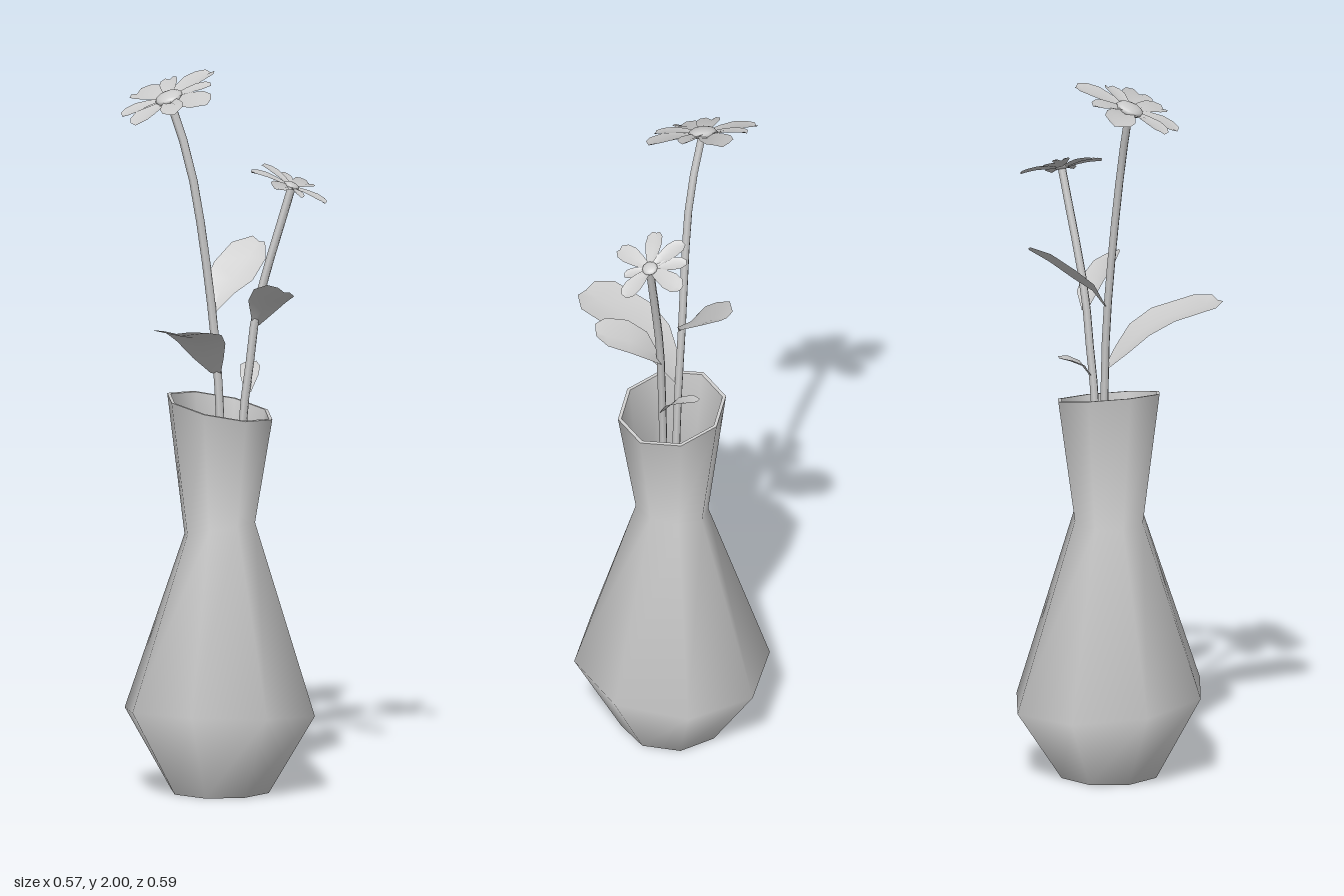
import * as THREE from 'three';

const grey = new THREE.MeshStandardMaterial({ color: 0xcccccc });
const thin = new THREE.MeshStandardMaterial({ color: 0xcccccc, side: THREE.DoubleSide });
const V = (x, y, z) => new THREE.Vector3(x, y, z);

// Joins rows of points into one smooth surface; closed rows wrap around
function loft(rows, closed) {
  const n = rows[0].length, index = [];
  for (let i = 0; i < rows.length - 1; i++) {
    for (let j = 0; j < (closed ? n : n - 1); j++) {
      const k = (j + 1) % n, a = i * n + j, b = i * n + k;
      index.push(a, b, b + n, a, b + n, a + n);
    }
  }
  const geo = new THREE.BufferGeometry().setFromPoints(rows.flat());
  geo.setIndex(index);
  geo.computeVertexNormals();
  return geo;
}

function add(parent, name, geo, mat = grey) {
  const mesh = new THREE.Mesh(geo, mat);
  mesh.name = name;
  parent.add(mesh);
  return mesh;
}

// Octagonal vase ring: radius, height and slopes along x and z
function ring([r, y, sx = 0, sz = 0]) {
  return Array.from({ length: 8 }, (_, i) => {
    const a = i * Math.PI / 4, x = r * Math.sin(a), z = r * Math.cos(a);
    return V(x - 0.005, y + sx * x + sz * z, z - 0.02);
  });
}

function makeVase() {
  const vase = new THREE.Group();
  vase.name = 'vase';
  const parts = {
    vaseBase: [[0, 0], [0.142, 0]],
    vaseBody: [[0.142, 0], [0.275, 0.222, 0, 0.09], [0.102, 0.738, 0.2, 0.04], [0.152, 1.08, -0.2]],
    vaseRim: [[0.152, 1.08, -0.2], [0.142, 1.08, -0.2]],
    vaseInside: [[0.142, 1.08, -0.2], [0.092, 0.738, 0.2, 0.04], [0.26, 0.222, 0, 0.09], [0.13, 0.02], [0, 0.02]],
  };
  for (const [name, rings] of Object.entries(parts)) add(vase, name, loft(rings.map(ring), true));
  return vase;
}

function makeStem(name, points) {
  const path = new THREE.CatmullRomCurve3(points.map(p => V(...p)));
  return new THREE.Mesh(new THREE.TubeGeometry(path, 14, 0.012, 6), grey);
}

// Leaf along a path, with half widths and a slight fold at the midrib
function makeLeaf(parent, name, path, halves, side, fold = 0.15) {
  const s = V(...side).normalize();
  const rows = path.map((p, i) => {
    const c = V(...p), w = halves[i];
    const lift = V(0, w * fold, 0);
    return [
      c.clone().addScaledVector(s, -w).add(lift),
      c.clone().sub(lift),
      c.clone().addScaledVector(s, w).add(lift),
    ];
  });
  add(parent, name, loft(rows, false), thin);
}

// Petal outline: share of the length, half width as a share, lift as a share
const petalOutline = [[0.1, 0.11, 0], [0.4, 0.22, 0.03], [0.65, 0.28, 0.04], [0.87, 0.25, 0.02], [1, 0.12, 0]];

// Flower head on a tilted plane; tips hold x, z and width scale of each petal
function makeHead(parent, centre, slopeX, slopeZ, radius, tips) {
  const c = V(...centre);
  const normal = V(-slopeX, 1, -slopeZ).normalize();
  tips.forEach(([x, z, scale = 1], k) => {
    const dx = x - c.x, dz = z - c.z;
    const along = V(dx, slopeX * dx + slopeZ * dz, dz);
    const length = along.length();
    const side = along.clone().cross(normal).normalize();
    const rows = petalOutline.map(([t, w, h]) => [-1, 0, 1].map(u =>
      c.clone().addScaledVector(along, t)
        .addScaledVector(side, u * w * length * scale)
        .addScaledVector(normal, length * (h - 0.05 * (1 - Math.abs(u))) + (k % 2) * 0.006 * t)));
    add(parent, 'petal' + (k + 1), loft(rows, false), thin);
  });
  const eye = add(parent, 'flowerCentre', new THREE.SphereGeometry(radius, 12, 8));
  eye.scale.y = 0.4;
  eye.position.copy(c);
  eye.quaternion.setFromUnitVectors(V(0, 1, 0), normal);
}

export function createModel() {
  const model = new THREE.Group();
  model.name = 'vaseWithFlowers';
  model.add(makeVase());

  // Tall flower
  const tall = new THREE.Group();
  tall.name = 'tallFlower';
  const tallStem = makeStem('tallStem', [[0.01, 0.3, -0.03], [-0.01, 1.08, -0.035], [-0.03, 1.33, -0.035],
    [-0.09, 1.75, -0.02], [-0.15, 1.935, -0.02]]);
  tallStem.name = 'tallStem';
  tall.add(tallStem);
  makeHead(tall, [-0.152, 1.94, -0.02], 0.27, -0.32, 0.04, [
    [-0.275, -0.115], [-0.187, -0.145, 0.7], [-0.07, -0.145], [-0.035, -0.035, 0.8],
    [-0.018, 0.07], [-0.1, 0.105, 0.85], [-0.215, 0.1, 0.95], [-0.27, 0.035, 0.85],
  ]);
  makeLeaf(tall, 'frontLeaf',
    [[-0.02, 1.17, -0.03], [-0.03, 1.215, 0.01], [-0.035, 1.265, 0.06], [-0.037, 1.3, 0.13], [-0.037, 1.325, 0.255], [-0.037, 1.335, 0.295]],
    [0.015, 0.045, 0.07, 0.082, 0.08, 0.04], [1, 0, 0], 0.08);
  makeLeaf(tall, 'backLeaf',
    [[-0.03, 1.345, -0.04], [-0.02, 1.4, -0.075], [0.005, 1.435, -0.12], [0.03, 1.485, -0.185], [0.043, 1.515, -0.24]],
    [0.012, 0.05, 0.068, 0.06, 0.022], [0.9, -0.3, 0.3]);
  model.add(tall);

  // Short flower
  const short = new THREE.Group();
  short.name = 'shortFlower';
  const shortStem = makeStem('shortStem', [[0.02, 0.3, -0.02], [0.06, 1.07, -0.035], [0.075, 1.2, -0.042],
    [0.095, 1.36, -0.05], [0.185, 1.695, -0.08]]);
  shortStem.name = 'shortStem';
  short.add(shortStem);
  makeHead(short, [0.185, 1.7, -0.08], -0.45, 0, 0.022, [
    [0.203, -0.197, 0.85], [0.285, -0.067, 0.85], [0.23, -0.025, 0.75],
    [0.17, 0.033, 0.85], [0.085, -0.03, 0.7], [0.085, -0.125, 0.75], [0.13, -0.165, 0.7],
  ]);
  makeLeaf(short, 'sideLeaf',
    [[0.09, 1.31, -0.05], [0.115, 1.36, -0.025], [0.15, 1.395, 0.015], [0.195, 1.42, 0.06], [0.212, 1.43, 0.085]],
    [0.012, 0.045, 0.053, 0.045, 0.02], [0.7, -0.42, -0.6]);
  makeLeaf(short, 'smallLeaf',
    [[0.07, 1.12, -0.04], [0.065, 1.16, -0.07], [0.057, 1.18, -0.11], [0.052, 1.19, -0.145]],
    [0.01, 0.028, 0.03, 0.012], [1, 0, 0.15]);
  model.add(short);

  return model;
}
